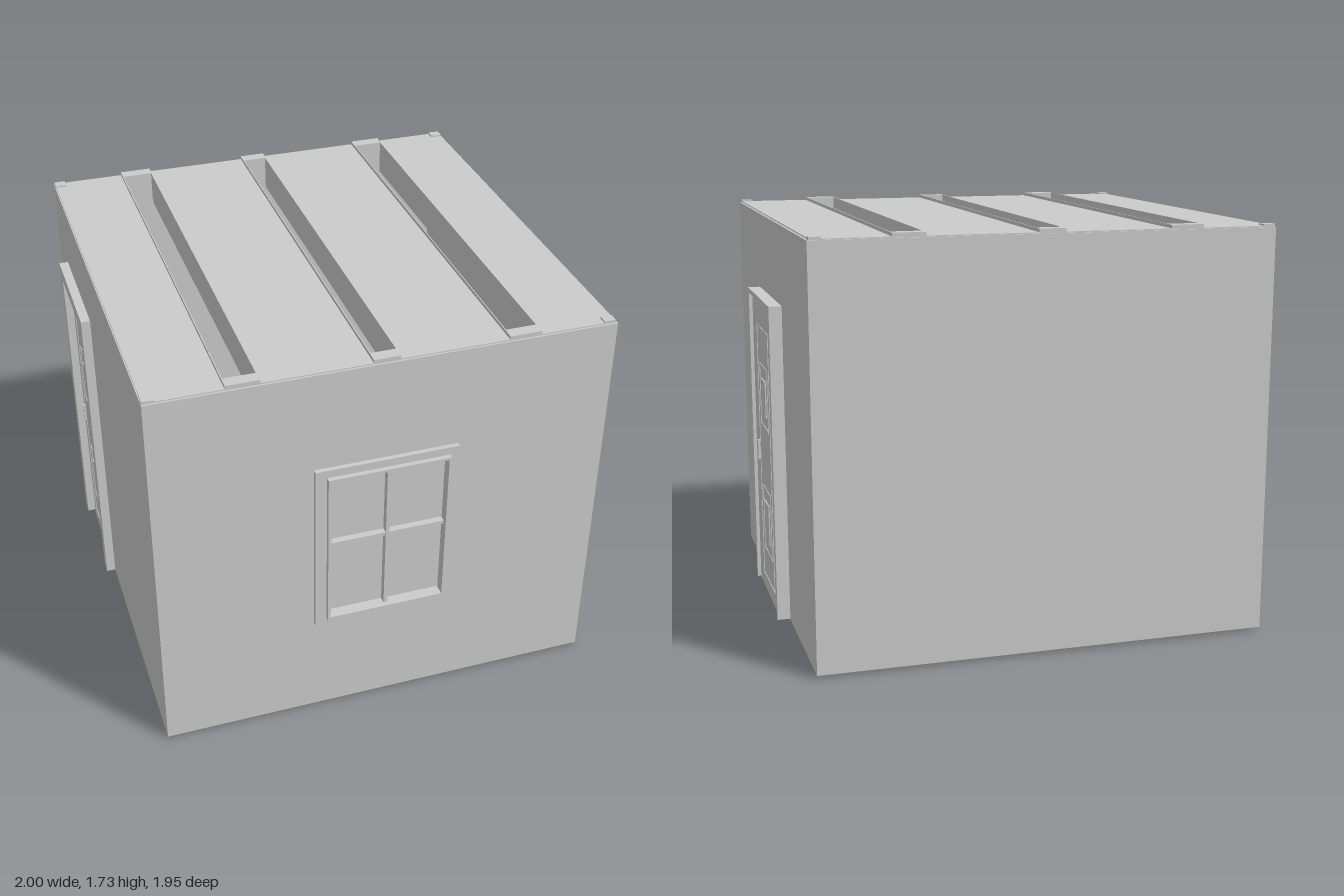
import * as THREE from 'three';

const grey = new THREE.MeshStandardMaterial({ color: 0xcccccc, flatShading: true });

// Box given by its extents on each axis
function box(parent, name, [x0, x1], [y0, y1], [z0, z1]) {
  const mesh = new THREE.Mesh(new THREE.BoxGeometry(x1 - x0, y1 - y0, z1 - z0), grey);
  mesh.position.set((x0 + x1) / 2, (y0 + y1) / 2, (z0 + z1) / 2);
  mesh.name = name;
  parent.add(mesh);
  return mesh;
}

function rect(Type, x0, x1, y0, y1) {
  return new Type([[x0, y0], [x1, y0], [x1, y1], [x0, y1]].map(p => new THREE.Vector2(...p)));
}

// Rectangular ring: outer and inner are [x0, x1, y0, y1], extruded from z0 to z1
function ring(parent, name, outer, inner, z0, z1) {
  const shape = rect(THREE.Shape, ...outer);
  shape.holes.push(rect(THREE.Path, ...inner));
  const geometry = new THREE.ExtrudeGeometry(shape, { depth: z1 - z0, bevelEnabled: false });
  const mesh = new THREE.Mesh(geometry, grey);
  mesh.position.z = z0;
  mesh.name = name;
  parent.add(mesh);
  return mesh;
}

// Door facing local +z, centred on local x = 0; the wall surface is z = 0
function door(name, { width, height, jamb, depth, leafZ, leafBottom, leafHalf }) {
  const g = new THREE.Group();
  g.name = name;
  const w = width / 2;
  for (const s of [-1, 1]) {
    const a = s * w, b = s * (w - jamb);
    box(g, 'doorJamb', [Math.min(a, b), Math.max(a, b)], [0.015, height], [-0.02, depth]);
  }
  box(g, 'doorHead', [-w + jamb, w - jamb], [height - jamb, height], [-0.02, depth]);
  box(g, 'doorLeaf', [-leafHalf, leafHalf], [leafBottom, height - jamb - 0.005], [leafZ - 0.045, leafZ]);
  box(g, 'doorBacking', [-w + jamb, w - jamb], [0.012, height - jamb], [-0.05, Math.min(leafZ - 0.008, 0.02)]);

  // Shallow mouldings: a tall surround and two nested panels
  const m = leafZ + 0.003, k = width / 0.625;
  ring(g, 'leafSurround', [-0.16 * k, 0.16 * k, 0.08, 1.235],
    [-0.155 * k, 0.155 * k, 0.085, 1.23], leafZ - 0.01, m);
  for (const [y0, y1] of [[0.21, 0.51], [0.79, 1.07]]) {
    const p = 0.11 * k, q = 0.06 * k;
    ring(g, 'panelMoulding', [-p, p, y0, y1], [-p + 0.01, p - 0.01, y0 + 0.01, y1 - 0.01], leafZ - 0.01, m);
    box(g, 'raisedPanel', [-q, q], [y0 + 0.06, y1 - 0.06], [leafZ - 0.01, m + 0.002]);
  }
  box(g, 'doorHandle', [-0.19 * k, -0.175 * k], [0.61, 0.7], [leafZ - 0.01, leafZ + 0.01]);
  return g;
}

export function createModel() {
  const model = new THREE.Group();
  model.name = 'room';
  const X = [-0.96, 0.945], Y = [0.012, 1.713], Z = [-0.975, 0.935], t = 0.06;

  // Floor and walls
  box(model, 'floor', X, [0.012, 0.04], Z);
  box(model, 'backWall', X, Y, [Z[0], Z[0] + t]);
  box(model, 'leftWall', [X[1] - t, X[1]], Y, [Z[0] + t, Z[1] - t]);
  box(model, 'rightWall', [X[0], X[0] + t], Y, [Z[0] + t, Z[1] - t]);
  ring(model, 'frontWall', [...X, ...Y], [-0.25, 0.247, 0.53, 1.23], Z[1] - t, Z[1]);

  // Roof panels separated by three long slots
  const roof = new THREE.Group();
  roof.name = 'roof';
  model.add(roof);
  const slots = [[-0.645, -0.512], [-0.066, 0.04], [0.49, 0.62]];
  const edges = [-0.955, ...slots.flat(), 0.935];
  for (let i = 0; i < edges.length; i += 2) {
    box(roof, 'roofPanel', [edges[i], edges[i + 1]], [1.58, 1.718], [-0.967, 0.927]);
  }
  for (const [a, b] of slots) {
    for (const x of [a, b]) box(roof, 'slotLip', [x - 0.002, x + 0.002], [1.6, 1.732], [-0.967, 0.927]);
    box(roof, 'slotEnd', [a, b], [1.7, 1.732], [-0.967, -0.915]);
    box(roof, 'slotEnd', [a, b], [1.7, 1.732], [0.875, 0.927]);
  }
  // Low caps on the four corners
  for (const x of [[-0.958, -0.91], [0.89, 0.938]])
    for (const z of [[-0.967, -0.925], [0.89, 0.927]])
      box(roof, 'cornerCap', x, [1.7, 1.725], z);

  // Window: stepped frame, glass and crossing bars
  const win = new THREE.Group();
  win.name = 'window';
  model.add(win);
  const opening = [-0.248, 0.245, 0.53, 1.23];
  ring(win, 'windowTrim', [-0.308, 0.295, 0.482, 1.277], opening, 0.93, 0.955);
  ring(win, 'windowFrame', [-0.26, 0.255, 0.515, 1.242], opening, 0.93, 0.975);
  box(win, 'windowGlass', [-0.255, 0.25], [0.525, 1.235], [0.905, 0.925]);
  box(win, 'windowBar', [-0.008, 0.008], [0.53, 1.23], [0.92, 0.955]);
  box(win, 'windowBar', [-0.248, 0.245], [0.892, 0.908], [0.92, 0.953]);

  // Left door, with a slim frame and a nearly flush leaf
  const leftDoor = door('leftDoor', {
    width: 0.63, height: 1.378, jamb: 0.022, depth: 0.055, leafZ: 0.04, leafBottom: 0.012, leafHalf: 0.29,
  });
  leftDoor.rotation.y = Math.PI / 2;
  leftDoor.position.set(X[1], 0, -0.01);
  model.add(leftDoor);

  // Right door, with a wider frame and a recessed leaf
  const rightDoor = door('rightDoor', {
    width: 0.555, height: 1.42, jamb: 0.06, depth: 0.04, leafZ: 0.006, leafBottom: 0, leafHalf: 0.205,
  });
  rightDoor.rotation.y = -Math.PI / 2;
  rightDoor.position.set(X[0], 0, -0.48);
  model.add(rightDoor);

  return model;
}
